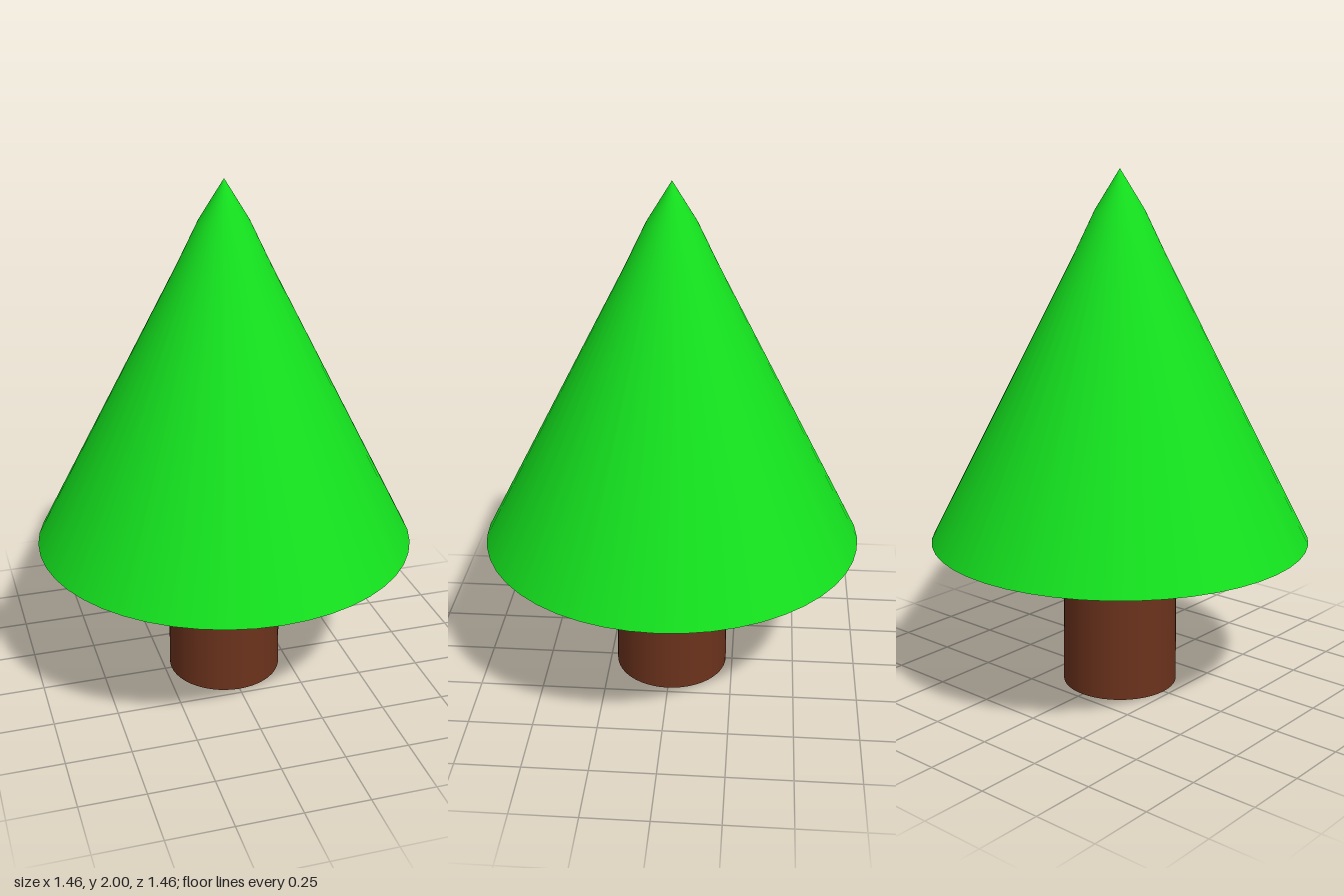
import * as THREE from 'three';

const SIDES = 48;
const BASE_Y = 0.595;

export function createModel() {
  const tree = new THREE.Group();
  tree.name = 'tree';
  const bark = new THREE.MeshStandardMaterial({ color: 0x6b321c });
  const leaf = new THREE.MeshStandardMaterial({ color: 0x14e01e });

  // Trunk: a barely tapered cylinder that meets the underside of the foliage
  const trunk = new THREE.Mesh(new THREE.CylinderGeometry(0.22, 0.224, BASE_Y, SIDES), bark);
  trunk.name = 'trunk';
  trunk.position.y = BASE_Y / 2;
  tree.add(trunk);

  // Foliage: a straight cone whose tip closes at a blunter angle
  const foliage = new THREE.Group();
  foliage.name = 'foliage';
  const profile = [[0.73, BASE_Y], [0.175, 1.68], [0.093, 1.85], [0, 2]]
    .map(([r, y]) => new THREE.Vector2(r, y));
  const cone = new THREE.Mesh(new THREE.LatheGeometry(profile, SIDES), leaf);
  cone.name = 'foliageCone';

  // Flat underside with a hard rim
  const underside = new THREE.Mesh(new THREE.CircleGeometry(0.73, SIDES), leaf);
  underside.name = 'foliageUnderside';
  underside.rotation.x = Math.PI / 2;
  underside.position.y = BASE_Y;
  foliage.add(cone, underside);
  tree.add(foliage);

  return tree;
}
